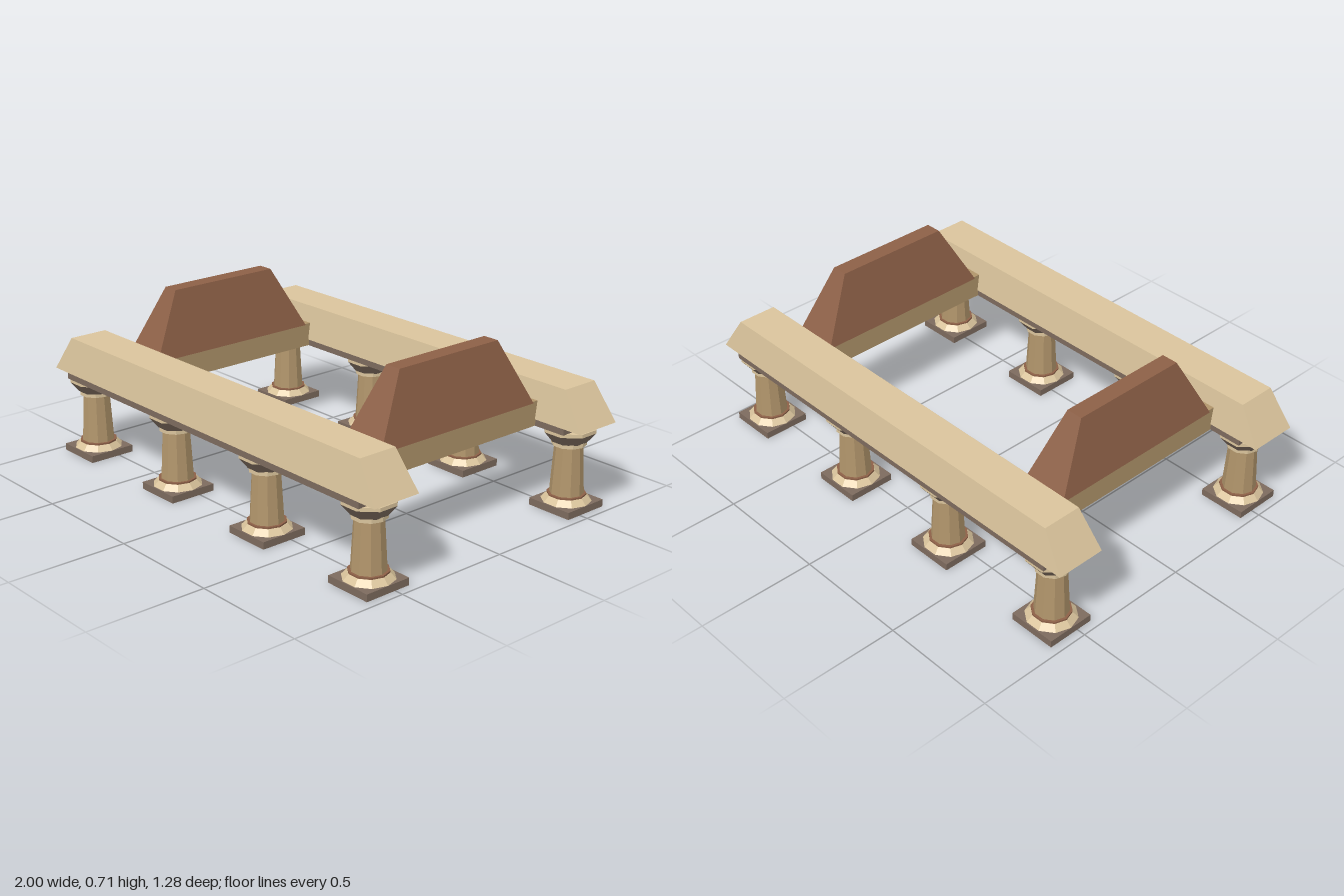
import * as THREE from 'three';

const mat = (name, color) => {
  const m = new THREE.MeshStandardMaterial({ color });
  m.name = name;
  m.flatShading = true;
  return m;
};

// Box whose top face is scaled in x and z, standing on y = 0
function taperedBox(w, h, d, topW, topD) {
  const g = new THREE.BoxGeometry(w, h, d);
  g.translate(0, h / 2, 0);
  const p = g.attributes.position;
  for (let i = 0; i < p.count; i++) {
    if (p.getY(i) > h / 2) {
      p.setX(i, Math.sign(p.getX(i)) * topW / 2);
      p.setZ(i, Math.sign(p.getZ(i)) * topD / 2);
    }
  }
  g.computeVertexNormals();
  return g;
}

export function createModel() {
  const stone = mat('light sandstone', 0xdac49c);
  const tan = mat('tan stone', 0xb1956b);
  const grey = mat('grey brown stone', 0x7d6b5e);
  const brown = mat('red brown tile', 0x8d6047);

  const model = new THREE.Group();
  model.name = 'colonnade';

  const add = (parent, name, geometry, material, x, y, z) => {
    const mesh = new THREE.Mesh(geometry, material);
    mesh.name = name;
    mesh.position.set(x, y, z);
    parent.add(mesh);
    return mesh;
  };

  // Round column sections: bottom height, top height, bottom radius, top radius, sides
  const section = (y0, y1, r0, r1, sides) => {
    const g = new THREE.CylinderGeometry(r1, r0, y1 - y0, sides);
    g.rotateY(Math.PI / sides);
    g.translate(0, (y0 + y1) / 2, 0);
    return g;
  };
  const plinth = taperedBox(0.205, 0.03, 0.205, 0.205, 0.205);
  const foot = section(0.03, 0.054, 0.102, 0.08, 10);
  const ring = section(0.05, 0.061, 0.079, 0.079, 10);
  const shaft = section(0.058, 0.27, 0.069, 0.057, 10);
  const collar = section(0.266, 0.283, 0.07, 0.07, 10);
  const capital = section(0.281, 0.325, 0.072, 0.108, 8);
  const abacus = section(0.325, 0.34, 0.108, 0.108, 8);

  function column(x, z) {
    const c = new THREE.Group();
    c.name = 'column';
    add(c, 'plinth', plinth, grey, 0, 0, 0);
    add(c, 'foot', foot, stone, 0, 0, 0);
    add(c, 'footRing', ring, brown, 0, 0, 0);
    add(c, 'shaft', shaft, tan, 0, 0, 0);
    add(c, 'collar', collar, stone, 0, 0, 0);
    add(c, 'capital', capital, grey, 0, 0, 0);
    add(c, 'abacus', abacus, stone, 0, 0, 0);
    c.position.set(x, 0, z);
    model.add(c);
  }

  // Front and back rows: columns, grey bearing strip and sloped beam
  for (const side of [1, -1]) {
    const z = 0.534 * side;
    for (let i = 0; i < 4; i++) column(-0.86 + i * 0.5733, z);
    add(model, 'bearingStrip', new THREE.BoxGeometry(1.83, 0.03, 0.205), grey, 0, 0.354, z);
    add(model, 'longBeam', taperedBox(2, 0.152, 0.212, 1.8, 0.168), stone, 0, 0.367, z);
  }

  // Left and right cross beams with hipped roofs
  for (const side of [1, -1]) {
    const x = 0.68 * side;
    add(model, 'crossBeam', new THREE.BoxGeometry(0.18, 0.103, 0.9), tan, x, 0.3915, 0);
    add(model, 'hippedRoof', taperedBox(0.2, 0.273, 0.81, 0.07, 0.515), brown, x, 0.442, 0);
  }

  return model;
}
